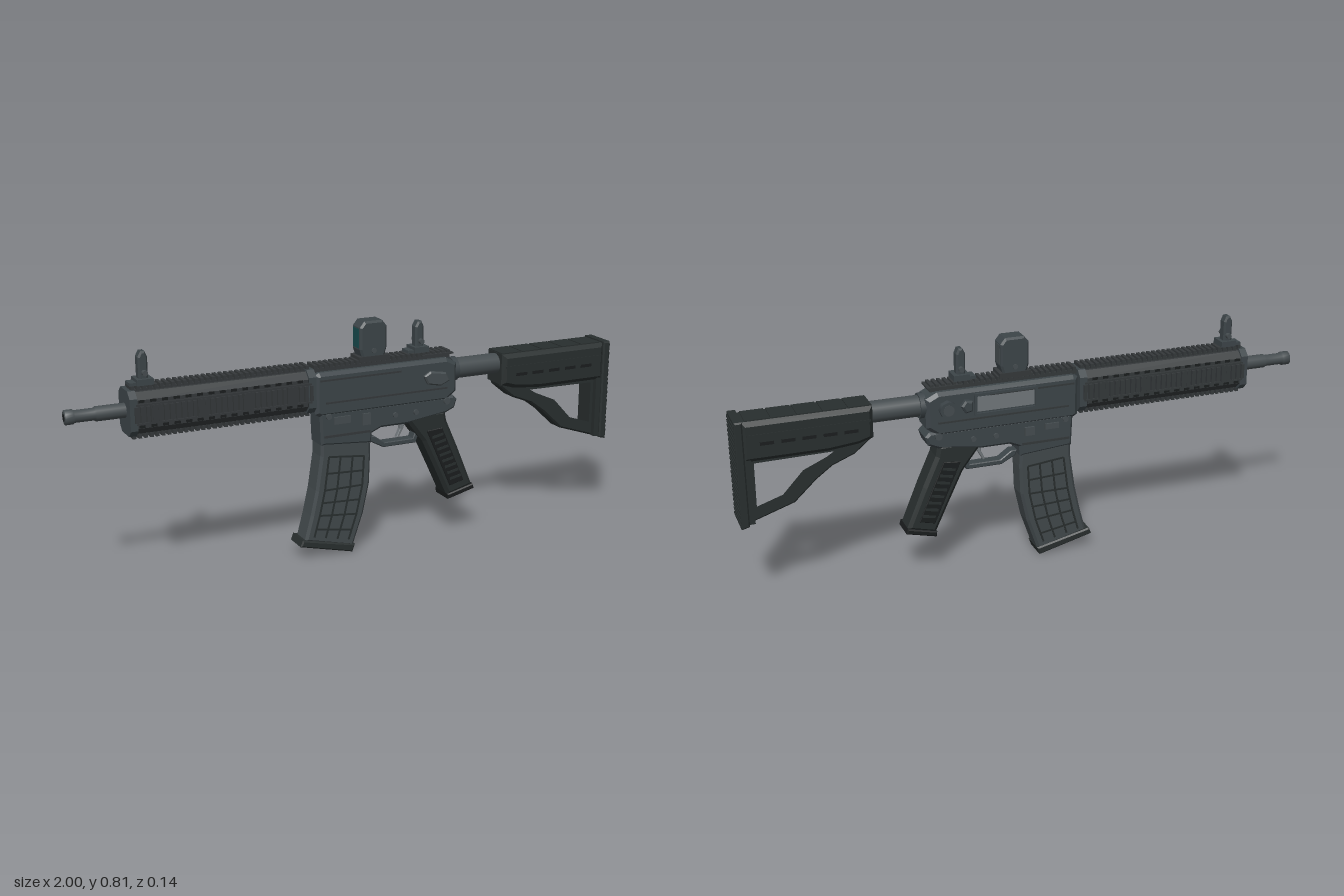
import * as THREE from 'three';
import { mergeGeometries } from 'three/addons/utils/BufferGeometryUtils.js';

const BODY = 0x3c4448, RAIL = 0x34383a, DARK = 0x282e2e, BLACK = 0x1a1d1e, STEEL = 0x454c4f, LIGHT = 0x70767a;

export function createModel() {
  const root = new THREE.Group();
  const mats = {};
  const mat = (c) => (mats[c] ??= new THREE.MeshStandardMaterial({ color: c }));
  const add = (name, geo, color) => {
    const m = new THREE.Mesh(geo, mat(color));
    m.name = name;
    root.add(m);
  };
  // Box from centre and size, optionally turned about z
  const box = (x, y, z, w, h, d, rot = 0) =>
    new THREE.BoxGeometry(w, h, d).rotateZ(rot).translate(x, y, z);
  const boxes = (name, list, color) => add(name, mergeGeometries(list.map((b) => box(...b))), color);
  // Side outline extruded across z with chamfered edges
  const slab = (pts, width, bevel = 0.008, z = 0, holes = []) => {
    const s = new THREE.Shape(pts.map((p) => new THREE.Vector2(...p)));
    for (const h of holes) s.holes.push(new THREE.Path(h.map((p) => new THREE.Vector2(...p))));
    return new THREE.ExtrudeGeometry(s, {
      depth: width - 2 * bevel, bevelEnabled: true, bevelSize: bevel,
      bevelThickness: bevel, bevelOffset: -bevel, bevelSegments: 1,
    }).translate(0, 0, z - width / 2 + bevel);
  };
  // Rod along x, and pins or knobs along z
  const rodX = (x0, x1, r, y, n = 20) =>
    new THREE.CylinderGeometry(r, r, x1 - x0, n).rotateZ(Math.PI / 2).translate((x0 + x1) / 2, y, 0);
  const pinZ = (x, y, z, r, d, n = 12) =>
    new THREE.CylinderGeometry(r, r, d, n).rotateX(Math.PI / 2).translate(x, y, z);

  // Barrel with collars at the muzzle
  const bore = [[0.024, 0.79], [0.024, 0.9], [0.02, 0.905], [0.02, 0.968], [0.024, 0.972], [0.024, 0.998], [0.013, 1], [0, 1]];
  add('barrel', new THREE.LatheGeometry(bore.map(([r, l]) => new THREE.Vector2(r, l)), 20)
    .rotateZ(Math.PI / 2).translate(0, 0.597, 0), STEEL);
  add('muzzleBore', rodX(-1.0005, -0.99, 0.012, 0.597), BLACK);

  // Handguard: eight-sided core with end collars
  const octagon = (hy, hz, c, x0, x1) => {
    const s = new THREE.Shape([[hz, hy - c], [hz - c, hy], [c - hz, hy], [-hz, hy - c],
      [-hz, c - hy], [c - hz, -hy], [hz - c, -hy], [hz, c - hy]].map((p) => new THREE.Vector2(...p)));
    return new THREE.ExtrudeGeometry(s, { depth: x1 - x0, bevelEnabled: false })
      .rotateY(Math.PI / 2).translate(x0, 0.592, 0);
  };
  add('handguardCore', octagon(0.068, 0.054, 0.022, -0.795, -0.17), RAIL);
  add('handguardFrontCollar', octagon(0.074, 0.058, 0.022, -0.805, -0.78), BODY);
  add('handguardRearCollar', octagon(0.074, 0.058, 0.022, -0.195, -0.168), BODY);

  // Rail teeth on all four faces, and rows of vent slots along the sides
  const teeth = [], vents = [], panels = [];
  for (let i = 0; i < 32; i++) {
    const x = -0.785 + i * 0.0193;
    teeth.push([x, 0.67, 0, 0.011, 0.016, 0.056], [x, 0.514, 0, 0.011, 0.016, 0.056]);
    for (const s of [-1, 1]) {
      teeth.push([x, 0.592, s * 0.059, 0.011, 0.052, 0.009]);
      if (i % 2) for (const y of [0.552, 0.634]) vents.push([x, y, s * 0.0515, 0.02, 0.009, 0.007]);
    }
  }
  for (const s of [-1, 1]) {
    panels.push([-0.485, 0.623, s * 0.056, 0.6, 0.006, 0.008], [-0.485, 0.561, s * 0.056, 0.6, 0.006, 0.008]);
    for (let i = 0; i < 4; i++) panels.push([-0.72 + i * 0.155, 0.592, s * 0.057, 0.035, 0.058, 0.011]);
  }
  panels.push([-0.485, 0.66, 0, 0.61, 0.012, 0.042], [-0.485, 0.525, 0, 0.61, 0.012, 0.042]);
  boxes('handguardRailTeeth', teeth, RAIL);
  boxes('handguardVents', vents, BLACK);
  boxes('handguardRailBases', panels, RAIL);

  // Upper and lower receiver
  add('upperReceiver', slab([[-0.166, 0.51], [-0.166, 0.645], [-0.15, 0.652], [0.33, 0.652], [0.37, 0.632],
    [0.37, 0.53], [0.33, 0.5], [-0.15, 0.5]], 0.1, 0.012), BODY);
  add('lowerReceiver', slab([[-0.15, 0.515], [0.36, 0.515], [0.375, 0.5], [0.365, 0.47], [0.33, 0.455], [0.18, 0.435],
    [0.08, 0.435], [0.045, 0.42], [0.042, 0.385], [-0.145, 0.4]], 0.092, 0.008), BODY);
  boxes('receiverSeams', [1, -1].flatMap((s) => [
    [0.1, 0.548, s * 0.05, 0.46, 0.006, 0.006], [-0.05, 0.43, s * 0.046, 0.17, 0.008, 0.006],
    [0.0, 0.626, s * 0.05, 0.3, 0.006, 0.005]]), RAIL);
  boxes('controls', [[0.02, 0.475, 0.047, 0.03, 0.04, 0.012], [-0.07, 0.483, 0.047, 0.06, 0.025, 0.01],
    [0.01, 0.475, -0.047, 0.035, 0.03, 0.012], [-0.07, 0.483, -0.047, 0.05, 0.02, 0.01]], STEEL);
  for (const s of [-1, 1]) for (const [x, y, r] of [[0.13, 0.475, 0.009], [0.21, 0.475, 0.009], [-0.12, 0.5, 0.01], [0.33, 0.5, 0.012]])
    add('receiverPin', pinZ(x, y, s * 0.047, r, 0.012), STEEL);
  // Selector blister on the front face
  add('selector', slab([[0.235, 0.6], [0.26, 0.615], [0.32, 0.605], [0.335, 0.575], [0.3, 0.56], [0.25, 0.57]], 0.02, 0.005, 0.052), STEEL);
  // Ejection port and round knobs on the back face
  boxes('ejectionPortFrame', [[0.095, 0.632, -0.052, 0.22, 0.008, 0.01], [0.095, 0.562, -0.052, 0.22, 0.008, 0.01],
    [-0.012, 0.597, -0.052, 0.008, 0.07, 0.01], [0.202, 0.597, -0.052, 0.008, 0.07, 0.01]], BODY);
  boxes('ejectionPort', [[0.095, 0.597, -0.049, 0.2, 0.052, 0.006]], LIGHT);
  add('forwardAssist', pinZ(0.3, 0.595, -0.058, 0.03, 0.026, 8), BODY);
  add('forwardAssistCap', pinZ(0.3, 0.595, -0.069, 0.019, 0.008), STEEL);
  add('brassDeflector', slab([[0.215, 0.58], [0.215, 0.615], [0.24, 0.62], [0.255, 0.6], [0.24, 0.575]], 0.03, 0.006, -0.054), BODY);

  // Top rail of the receiver
  const topTeeth = [[0.09, 0.657, 0, 0.52, 0.014, 0.05], [0.3, 0.665, 0, 0.12, 0.006, 0.07]];
  for (let i = 0; i < 27; i++) topTeeth.push([-0.158 + i * 0.0193, 0.669, 0, 0.011, 0.014, 0.06]);
  boxes('receiverTopRail', topTeeth, RAIL);

  // Folding iron sights: front and rear
  for (const [name, x] of [['frontSight', -0.742], ['rearSight', 0.24]]) {
    boxes(name + 'Base', [[x, 0.687, 0, 0.055, 0.02, 0.06], [x - 0.025, 0.682, 0, 0.05, 0.01, 0.045]], BODY);
    add(name + 'Post', slab([[x - 0.017, 0.68], [x - 0.018, 0.765], [x - 0.008, 0.784], [x + 0.006, 0.784],
      [x + 0.014, 0.765], [x + 0.014, 0.68]], 0.036, 0.006), BODY);
    add(name + 'Pin', pinZ(x, 0.716, 0, 0.009, 0.064), STEEL);
  }

  // Optic: chamfered housing with tinted lens toward the muzzle
  add('opticHousing', slab([[0.015, 0.678], [0.005, 0.71], [0.005, 0.785], [0.022, 0.806], [0.088, 0.806],
    [0.105, 0.785], [0.105, 0.71], [0.095, 0.678]], 0.066, 0.007), BODY);
  boxes('opticMount', [[0.055, 0.678, 0, 0.11, 0.018, 0.07]], RAIL);
  boxes('opticLens', [[0.005, 0.748, 0, 0.003, 0.066, 0.042]], 0x174a4c);
  boxes('opticEyepiece', [[0.105, 0.748, 0, 0.003, 0.066, 0.042]], STEEL);
  for (const s of [-1, 1]) add('opticScrew', pinZ(0.055, 0.705, s * 0.033, 0.009, 0.007), STEEL);

  // Curved magazine with ribs and base plate
  const front = [[-0.143, 0.42], [-0.145, 0.36], [-0.163, 0.24], [-0.182, 0.155], [-0.206, 0.065]];
  const rear = [[0.04, 0.42], [0.042, 0.34], [0.038, 0.24], [0.015, 0.135], [-0.025, 0.02]];
  add('magazine', slab([...front, ...[...rear].reverse()], 0.082, 0.009), 0x41484b);
  add('magazineBase', slab([[-0.225, 0.05], [-0.216, 0.073], [-0.02, 0.028], [-0.03, 0.001]], 0.092, 0.005), DARK);
  const ribs = [];
  const mix = (a, b, t) => a.map((v, k) => v + (b[k] - v) * t);
  const at = (i, t) => mix(front[i], rear[i], t);
  const bar = (a, b, s) => ribs.push([(a[0] + b[0]) / 2, (a[1] + b[1]) / 2, s * 0.041,
    Math.hypot(b[0] - a[0], b[1] - a[1]), 0.006, 0.006, Math.atan2(b[1] - a[1], b[0] - a[0])]);
  for (const s of [-1, 1]) for (let i = 1; i < 4; i++) {
    for (const t of [0.15, 0.38, 0.62, 0.85]) bar(at(i, t), mix(at(i, t), at(i + 1, t), i === 3 ? 0.8 : 1), s);
    bar(at(i, 0.15), at(i, 0.85), s);
    bar(mix(at(i, 0.15), at(i + 1, 0.15), 0.5), mix(at(i, 0.85), at(i + 1, 0.85), 0.5), s);
  }
  boxes('magazineRibs', ribs, DARK);

  // Trigger and guard
  const guard = [[0.045, 0.4], [0.065, 0.4], [0.105, 0.372], [0.215, 0.372], [0.24, 0.435], [0.255, 0.43], [0.226, 0.355], [0.1, 0.355], [0.05, 0.382]];
  add('triggerGuard', slab(guard, 0.04, 0.003), BODY);
  add('trigger', slab([[0.17, 0.445], [0.195, 0.445], [0.182, 0.41], [0.163, 0.377], [0.156, 0.38], [0.17, 0.41]], 0.018, 0.002), LIGHT);

  // Pistol grip with textured side panels
  add('grip', slab([[0.18, 0.445], [0.2, 0.47], [0.33, 0.465], [0.338, 0.425], [0.385, 0.32], [0.445, 0.175], [0.345, 0.148],
    [0.3, 0.245], [0.245, 0.36]], 0.088, 0.012), DARK);
  add('gripCap', slab([[0.342, 0.155], [0.445, 0.18], [0.45, 0.162], [0.345, 0.136]], 0.094, 0.004), BLACK);
  const grooves = [];
  for (const s of [-1, 1]) {
    add('gripPanel', slab([[0.255, 0.4], [0.315, 0.405], [0.405, 0.2], [0.35, 0.187]], 0.008, 0.002, s * 0.044), BLACK);
    for (let i = 0; i < 8; i++)
      grooves.push([0.297 + i * 0.0105, 0.378 - i * 0.023, s * 0.0475, 0.045, 0.009, 0.005, 0.2]);
  }
  boxes('gripTexture', grooves, DARK);

  // Stock tube and collar
  add('stockTube', rodX(0.36, 0.57, 0.036, 0.6), STEEL);
  add('stockTubeCollar', rodX(0.365, 0.385, 0.043, 0.6, 12), BODY);

  // Stock: wide upper body, narrower open strut and ridged butt pad
  add('stockBody', slab([[0.55, 0.53], [0.55, 0.64], [0.975, 0.64], [0.975, 0.505], [0.7, 0.505], [0.6, 0.515]], 0.12, 0.014), DARK);
  add('stockStrut', slab([[0.55, 0.535], [0.975, 0.535], [0.975, 0.285], [0.945, 0.292], [0.815, 0.335], [0.74, 0.405],
    [0.685, 0.445], [0.61, 0.475], [0.555, 0.52]], 0.07, 0.006, 0,
  [[[0.67, 0.498], [0.945, 0.498], [0.945, 0.335], [0.85, 0.365], [0.78, 0.44], [0.7, 0.475]]]), DARK);
  boxes('stockRearPost', [[0.963, 0.41, 0, 0.025, 0.24, 0.105]], DARK);
  add('buttPad', slab([[0.97, 0.285], [0.97, 0.645], [0.997, 0.645], [0.997, 0.278]], 0.125, 0.005), DARK);
  const ridges = [], slots = [];
  for (let i = 0; i < 22; i++) ridges.push([0.997, 0.293 + i * 0.0161, 0, 0.006, 0.008, 0.112]);
  for (let i = 0; i < 5; i++) ridges.push([0.59 + i * 0.083, 0.641, 0, 0.076, 0.005, 0.09]);
  for (const s of [-1, 1]) {
    for (let i = 0; i < 5; i++) slots.push([0.625 + i * 0.068, 0.565, s * 0.0595, 0.045, 0.011, 0.003]);
    ridges.push([0.76, 0.595, s * 0.06, 0.4, 0.007, 0.005]);
  }
  boxes('stockRidges', ridges, DARK);
  boxes('stockSlots', slots, BLACK);

  return root;
}
